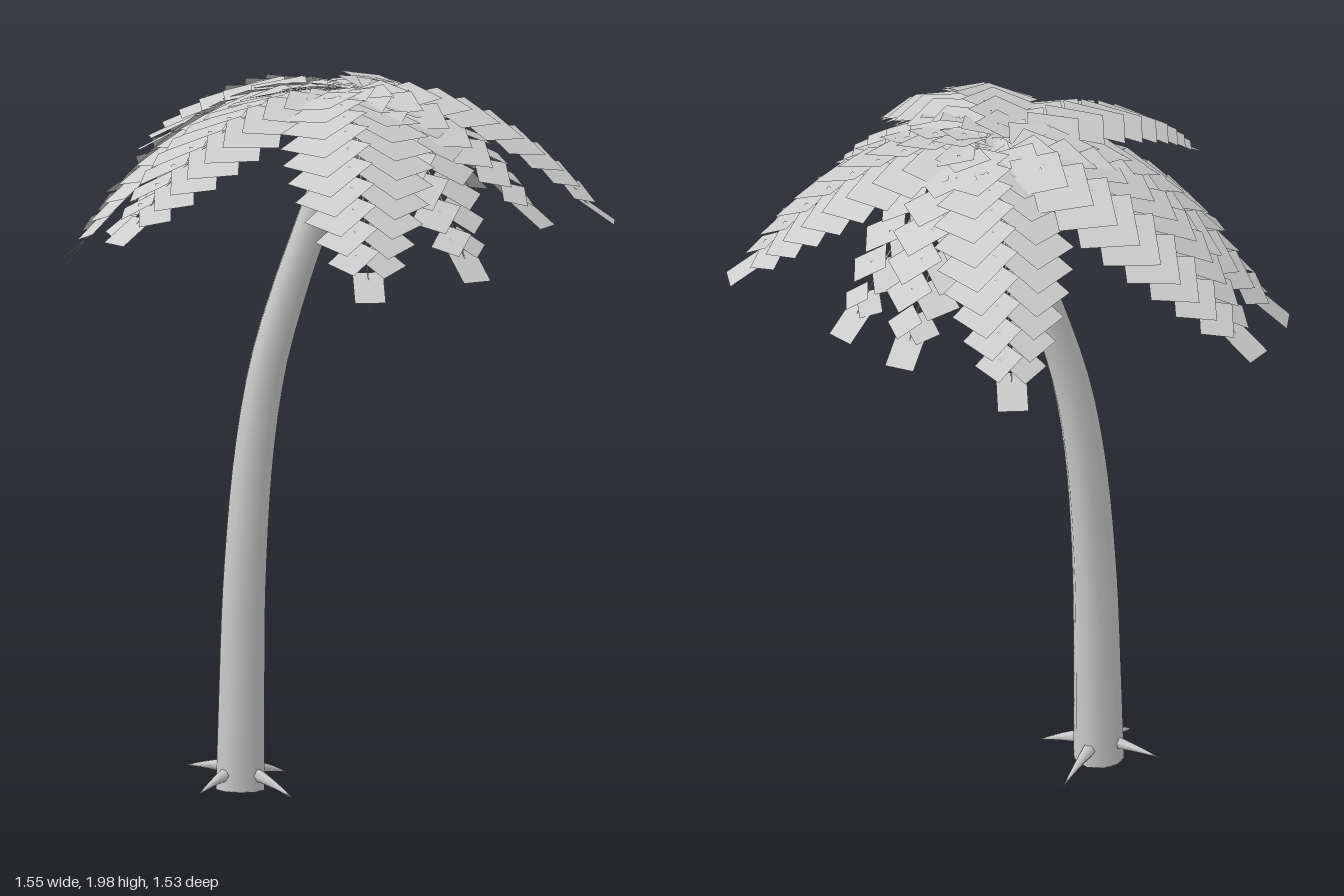
import * as THREE from 'three';

const V = (x, y, z) => new THREE.Vector3(x, y, z);

// Tube along a curve whose radius follows radiusAt(t)
function taperedTube(curve, segments, sides, radiusAt) {
  const geo = new THREE.TubeGeometry(curve, segments, 1, sides, false);
  const pos = geo.attributes.position;
  const p = V(0, 0, 0);
  for (let i = 0; i <= segments; i++) {
    const centre = curve.getPointAt(i / segments);
    for (let j = 0; j <= sides; j++) {
      const k = i * (sides + 1) + j;
      p.fromBufferAttribute(pos, k).sub(centre).multiplyScalar(radiusAt(i / segments)).add(centre);
      pos.setXYZ(k, p.x, p.y, p.z);
    }
  }
  return geo;
}

// Rectangular leaflets in pairs along a rib, flatter than the rib so that they
// step down like shingles, closed by one tip leaflet
function leafletGeometry(curve, length) {
  const positions = [];
  const quad = (origin, a, b) => {
    const c0 = origin, c1 = origin.clone().add(a);
    const c2 = c1.clone().add(b), c3 = origin.clone().add(b);
    for (const c of [c0, c1, c2, c0, c2, c3]) positions.push(c.x, c.y, c.z);
  };
  const frame = (t) => {
    const forward = curve.getTangentAt(t);
    forward.y *= 0.6;
    forward.normalize();
    const side = V(0, 1, 0).cross(forward).normalize();
    const up = forward.clone().cross(side);
    return { point: curve.getPointAt(t), forward, side, up };
  };
  const pairs = Math.round(length / 0.075);
  for (let i = 0; i < pairs; i++) {
    const t = 0.02 + 0.83 * i / (pairs - 1);
    const { point, forward, side, up } = frame(t);
    const half = length * (0.055 + 0.195 * Math.sin(Math.PI * Math.pow(t, 0.8)));
    const lap = Math.min(0.035, half * 0.4);
    const reach = (half + lap) * 1.414;
    for (const s of [1, -1]) {
      const out = side.clone().multiplyScalar(s * 0.97).addScaledVector(up, -0.23);
      // Leaflets of a pair lap over the rib so that no gap is left
      const origin = point.clone().addScaledVector(out, -lap).addScaledVector(up, -0.006 * s);
      const along = forward.clone().add(out).normalize().multiplyScalar(reach * 0.53);
      const across = out.clone().sub(forward).normalize().multiplyScalar(reach * 0.47);
      if (s > 0) quad(origin, along, across);
      else quad(origin, across, along);
    }
  }
  const { point, forward, side } = frame(0.95);
  const width = 0.085;
  point.addScaledVector(side, -width / 2).addScaledVector(forward, -0.06);
  quad(point, forward.multiplyScalar(0.12), side.multiplyScalar(width));
  const geo = new THREE.BufferGeometry();
  geo.setAttribute('position', new THREE.Float32BufferAttribute(positions, 3));
  geo.computeVertexNormals();
  return geo;
}

export function createModel() {
  const palm = new THREE.Group();
  palm.name = 'palmTree';
  const grey = new THREE.MeshStandardMaterial({ color: 0xcccccc, side: THREE.DoubleSide });
  grey.name = 'light grey';
  const add = (parent, name, geo) => {
    const mesh = new THREE.Mesh(geo, grey);
    mesh.name = name;
    parent.add(mesh);
    return mesh;
  };

  // Leaning trunk, pointed where the crown starts
  const trunkPath = new THREE.CatmullRomCurve3([
    V(-0.132, 0.015, 0.138), V(-0.128, 0.3, 0.136), V(-0.123, 0.6, 0.13), V(-0.107, 0.95, 0.108),
    V(-0.075, 1.2, 0.085), V(-0.028, 1.4, 0.055), V(0.03, 1.6, 0.02), V(0.085, 1.8, -0.015),
    V(0.105, 1.92, -0.035),
  ]);
  add(palm, 'trunk', taperedTube(trunkPath, 24, 10, (t) =>
    t > 0.9 ? 0.045 * Math.max(0.02, (1 - t) / 0.1) : 0.07 - 0.025 * t / 0.9));
  const base = add(palm, 'trunkBase', new THREE.CircleGeometry(0.07, 10));
  base.rotation.x = Math.PI / 2;
  base.position.set(-0.132, 0.016, 0.138);

  // Four curved roots
  const roots = new THREE.Group();
  roots.name = 'roots';
  palm.add(roots);
  for (const tip of [V(0.06, 0.01, 0.16), V(-0.15, 0.02, 0.31), V(-0.32, 0.06, 0.13), V(-0.13, 0.03, -0.08)]) {
    const start = V(-0.133, 0.075, 0.138);
    const middle = start.clone().lerp(tip, 0.55);
    middle.y = tip.y * 0.4 + 0.05;
    add(roots, 'root', taperedTube(new THREE.QuadraticBezierCurve3(start, middle, tip), 6, 6,
      (t) => 0.026 * (1 - t) + 0.0005));
  }

  // Fronds arching out from the crown to these tips
  const crown = V(0.1, 1.96, -0.035);
  const tips = [
    [-0.75, 1.57, -0.16], [-0.64, 1.45, 0.245], [-0.34, 1.59, 0.43], [-0.12, 1.62, 0.73],
    [0.66, 1.52, 0.64], [0.74, 1.54, 0.26], [0.7, 1.64, -0.11], [0.7, 1.6, -0.43],
    [0.3, 1.59, -0.56], [0.08, 1.6, -0.66], [-0.29, 1.58, -0.73],
  ];
  for (const xyz of tips) {
    const tip = V(...xyz);
    const length = Math.hypot(tip.x - crown.x, tip.z - crown.z);
    const bend = crown.clone().lerp(tip, 0.5);
    bend.y = 1.93 + 0.15 * length;
    const rib = new THREE.QuadraticBezierCurve3(crown, bend, tip);
    const frond = new THREE.Group();
    frond.name = 'frond';
    palm.add(frond);
    const stem = add(frond, 'rib', taperedTube(rib, 12, 5, (t) => 0.005 * (1 - t) + 0.001));
    stem.position.y = -0.012;
    add(frond, 'leaflets', leafletGeometry(rib, length));
  }
  return palm;
}
